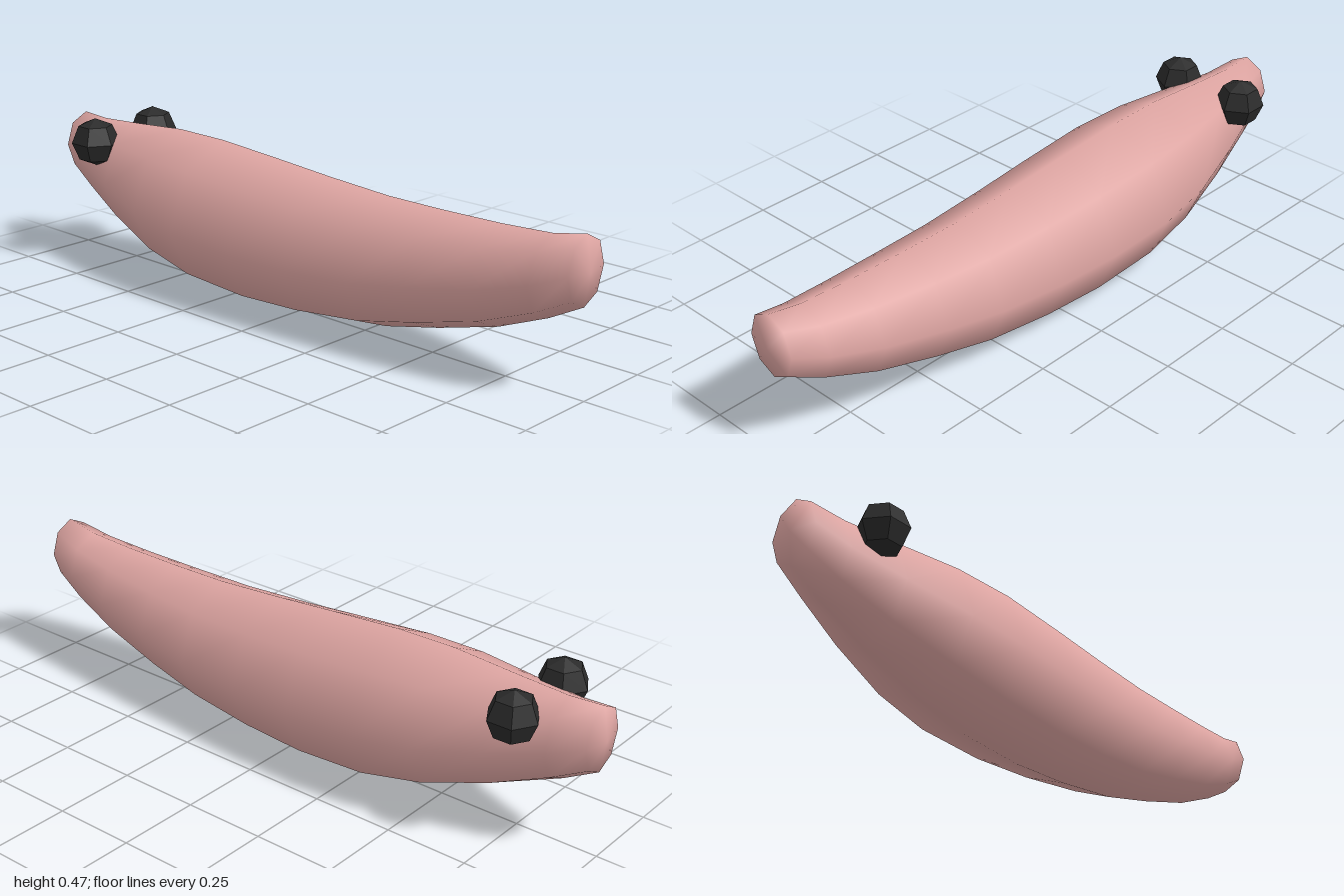
import * as THREE from 'three';

const SIDES = 8;
// Body stations from tail (+z) to head (-z): z, top y, bottom y, half width
const STATIONS = [
  [0.985, 0.45, 0.255, 0.08],
  [0.88, 0.43, 0.2, 0.104],
  [0.72, 0.422, 0.135, 0.133],
  [0.52, 0.419, 0.08, 0.16],
  [0.33, 0.42, 0.036, 0.181],
  [0.11, 0.433, 0.012, 0.2],
  [-0.1, 0.449, 0.003, 0.214],
  [-0.33, 0.465, 0.018, 0.22],
  [-0.52, 0.467, 0.058, 0.2],
  [-0.72, 0.453, 0.125, 0.15],
  [-0.88, 0.444, 0.197, 0.105],
  [-0.985, 0.45, 0.255, 0.08],
];

// Loft eight-sided rings along z and close both ends with a shallow tip
function createBodyGeometry() {
  const positions = [];
  const indices = [];
  for (const [z, top, bottom, width] of STATIONS) {
    // The widest line sits a little lower where the body is fat
    const weight = 0.5 - 0.06 * Math.min(1, (width - 0.08) / 0.12);
    const mid = bottom + (top - bottom) * weight;
    for (let i = 0; i < SIDES; i++) {
      const a = (i / SIDES) * Math.PI * 2;
      const c = Math.cos(a);
      positions.push(Math.sin(a) * width, mid + c * (c > 0 ? top - mid : mid - bottom), z);
    }
  }
  const last = (STATIONS.length - 1) * SIDES;
  const tailTip = last + SIDES;
  const headTip = tailTip + 1;
  positions.push(0, 0.35, 1, 0, 0.35, -1);

  for (let i = 0; i < SIDES; i++) {
    const j = (i + 1) % SIDES;
    for (let r = 0; r < last; r += SIDES) {
      const a = r + i, b = r + j, c = a + SIDES, d = b + SIDES;
      indices.push(a, b, c, b, d, c);
    }
    indices.push(tailTip, j, i, headTip, last + i, last + j);
  }
  const geometry = new THREE.BufferGeometry();
  geometry.setAttribute('position', new THREE.Float32BufferAttribute(positions, 3));
  geometry.setIndex(indices);
  geometry.computeVertexNormals();
  return geometry;
}

export function createModel() {
  const group = new THREE.Group();
  group.name = 'slug';

  const skin = new THREE.MeshStandardMaterial({ color: 0xdea5a2 });
  skin.name = 'pinkSkin';
  const black = new THREE.MeshStandardMaterial({ color: 0x2a2a2a });
  black.name = 'eyeBlack';

  const body = new THREE.Mesh(createBodyGeometry(), skin);
  body.name = 'body';
  group.add(body);

  // Faceted eyes on the shoulders of the head
  const eyeGeometry = new THREE.SphereGeometry(0.076, 6, 4).rotateY(Math.PI / 2).toNonIndexed();
  eyeGeometry.computeVertexNormals();
  for (const side of [-1, 1]) {
    const eye = new THREE.Mesh(eyeGeometry, black);
    eye.name = side > 0 ? 'leftEye' : 'rightEye';
    eye.position.set(side * 0.12, 0.402, -0.79);
    group.add(eye);
  }
  return group;
}
